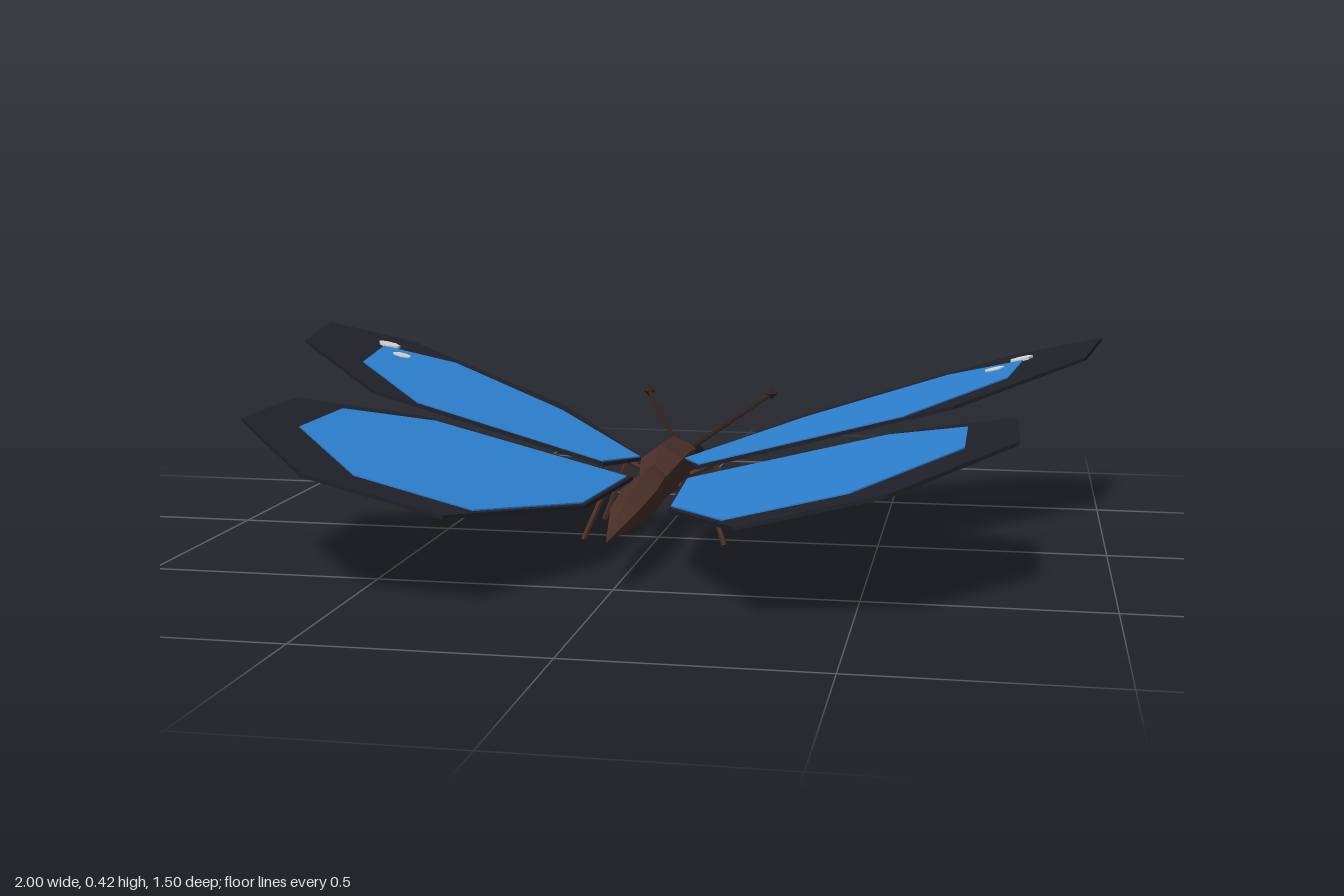
import * as THREE from 'three';

const paint = (name, color) => {
  const m = new THREE.MeshStandardMaterial({ color });
  m.name = name;
  return m;
};

// Faceted normals for the low-poly look
function facet(geo) {
  const g = geo.index ? geo.toNonIndexed() : geo;
  g.computeVertexNormals();
  return g;
}

// Six-sided body section through rings of [z, halfWidth, halfHeight, centreY], z ascending
function loft(rings) {
  const n = rings.length - 1;
  const geo = new THREE.CylinderGeometry(1, 1, 1, 6, n).rotateX(-Math.PI / 2);
  const p = geo.attributes.position;
  for (let i = 0; i < p.count; i++) {
    const [z, rx, ry, cy] = rings[Math.round((p.getZ(i) + 0.5) * n)];
    p.setXYZ(i, p.getX(i) * rx, cy + p.getY(i) * ry, z);
  }
  return facet(geo);
}

// Thin plate from [x, z] points, its top on the plane y = base + slope * |x|
function plate(points, side, base, thick) {
  const shape = new THREE.Shape(points.map(([x, z]) => new THREE.Vector2(side * x, z)));
  const geo = new THREE.ExtrudeGeometry(shape, { depth: thick, bevelEnabled: false });
  geo.rotateX(Math.PI / 2);
  const shear = new THREE.Matrix4().set(1, 0, 0, 0, side * 0.253, 1, 0, base, 0, 0, 1, 0, 0, 0, 0, 1);
  return geo.applyMatrix4(shear);
}

// Straight rod between two points
function rod(a, b, ra, rb) {
  const from = new THREE.Vector3(...a), to = new THREE.Vector3(...b);
  const dir = to.clone().sub(from);
  const geo = new THREE.CylinderGeometry(rb, ra, dir.length(), 5);
  geo.applyQuaternion(new THREE.Quaternion().setFromUnitVectors(new THREE.Vector3(0, 1, 0), dir.normalize()));
  geo.translate(...from.add(to).multiplyScalar(0.5).toArray());
  return facet(geo);
}

const disc = (x, z, r) => Array.from({ length: 7 }, (_, i) => {
  const a = (i / 7) * Math.PI * 2;
  return [x + r * Math.cos(a), z + r * Math.sin(a)];
});

const foreOutline = [[0.05, -0.05], [0.30, -0.375], [0.785, -0.64], [1, -0.59], [0.95, -0.28],
  [0.66, 0.05], [0.55, 0.06], [0.105, 0.112]];
const forePanel = [[0.053, -0.045], [0.30, -0.305], [0.63, -0.505], [0.81, -0.465], [0.775, -0.21],
  [0.555, 0.05], [0.108, 0.1]];
const hindOutline = [[0.06, 0], [0.56, 0], [0.80, 0.165], [0.80, 0.47], [0.565, 0.745],
  [0.28, 0.745], [0.088, 0.37]];
const hindPanel = [[0.07, 0.02], [0.52, 0.02], [0.695, 0.155], [0.695, 0.415], [0.49, 0.655],
  [0.245, 0.655], [0.094, 0.36]];

export function createModel() {
  const group = new THREE.Group();
  const brown = paint('body brown', 0x4a3028);
  const dark = paint('antenna dark brown', 0x35221e);
  const black = paint('wing black', 0x20202a);
  const blue = paint('wing blue', 0x2d82d2);
  const white = paint('spot white', 0xd6d6d6);
  const eye = paint('eye black', 0x141418);
  const add = (name, geo, mat) => {
    const mesh = new THREE.Mesh(geo, mat);
    mesh.name = name;
    group.add(mesh);
    return mesh;
  };

  // Body
  add('abdomen', loft([[0, 0.032, 0.045, 0.135], [0.1, 0.037, 0.046, 0.135], [0.22, 0.045, 0.042, 0.134],
    [0.38, 0.036, 0.03, 0.128], [0.555, 0.002, 0.002, 0.113]]), brown);
  add('thorax', loft([[-0.28, 0.037, 0.04, 0.132], [-0.2, 0.053, 0.061, 0.143], [-0.03, 0.055, 0.063, 0.145],
    [0.07, 0.036, 0.042, 0.135]]), brown);
  add('head', loft([[-0.36, 0.022, 0.022, 0.134], [-0.335, 0.036, 0.036, 0.134], [-0.28, 0.036, 0.038, 0.134],
    [-0.26, 0.028, 0.03, 0.134]]), brown);

  for (const s of [1, -1]) {
    const side = s > 0 ? 'left' : 'right';

    // Wings with blue panels and pale spots on the upper face
    add(side + 'ForeWing', plate(foreOutline, s, 0.163, 0.008), black);
    add(side + 'ForeWingPanel', plate(forePanel, s, 0.166, 0.003), blue);
    add(side + 'HindWing', plate(hindOutline, s, 0.124, 0.008), black);
    add(side + 'HindWingPanel', plate(hindPanel, s, 0.127, 0.003), blue);
    add(side + 'LargeSpot', plate(disc(0.805, -0.495, 0.028), s, 0.169, 0.006), white);
    add(side + 'SmallSpot', plate(disc(0.742, -0.405, 0.024), s, 0.169, 0.003), white);

    // Eye
    add(side + 'Eye', facet(new THREE.IcosahedronGeometry(0.021, 0)), eye).position.set(s * 0.032, 0.14, -0.335);

    // Antenna with a diamond club
    add(side + 'Antenna', rod([s * 0.015, 0.15, -0.345], [s * 0.163, 0.233, -0.725], 0.006, 0.005), dark);
    const club = facet(new THREE.OctahedronGeometry(1).scale(0.017, 0.016, 0.026));
    add(side + 'AntennaClub', club, dark).position.set(s * 0.164, 0.235, -0.73);

    // Two jointed legs
    for (const [name, hipZ, kneeZ, footZ] of [['FrontLeg', -0.15, -0.155, -0.16], ['BackLeg', -0.02, 0.012, 0.068]]) {
      const knee = [s * 0.105, 0.147, kneeZ];
      add(side + name + 'Upper', rod([s * 0.035, 0.115, hipZ], knee, 0.007, 0.007), brown);
      add(side + name + 'Lower', rod(knee, [s * 0.162, 0.003, footZ], 0.007, 0.006), brown);
    }
  }
  return group;
}
